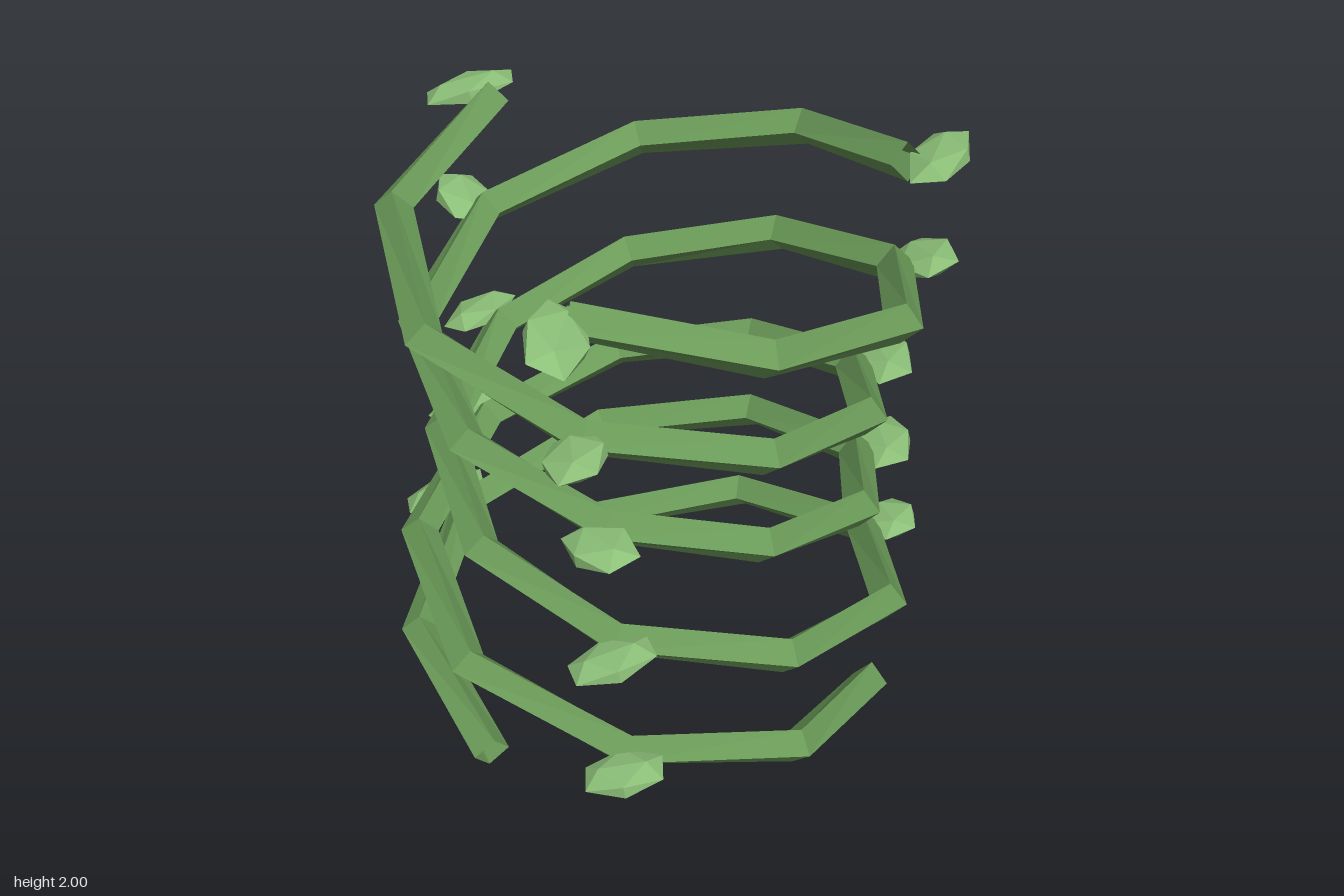
import * as THREE from 'three';

const SEGMENTS = 14, TUBE = 0.065;
const CENTRE = new THREE.Vector3(0.045, 0, -0.1);
const STEP = THREE.MathUtils.degToRad(41.05);

const stemMaterial = new THREE.MeshStandardMaterial({ color: 0x6a9a58, flatShading: true, side: THREE.DoubleSide });
const leafMaterial = new THREE.MeshStandardMaterial({ color: 0x8cc078, flatShading: true });

// Point i of a rising helix whose radius swells and narrows with height
function helixPoint(start, i, offset = 0) {
  const angle = start + i * STEP;
  const radius = 0.78 + 0.07 * Math.sin(0.61 * i + 0.23) + offset;
  return new THREE.Vector3(Math.cos(angle) * radius, 0.065 + 0.134 * i, Math.sin(angle) * radius).add(CENTRE);
}

// Open four-sided tube, with its edges facing out, in, up and down
function vineGeometry(start) {
  const positions = [], index = [];
  for (let i = 0; i <= SEGMENTS; i++) {
    const p = helixPoint(start, i);
    const tangent = helixPoint(start, Math.min(i + 1, SEGMENTS))
      .sub(helixPoint(start, Math.max(i - 1, 0))).normalize();
    const out = p.clone().sub(CENTRE).setY(0);
    out.addScaledVector(tangent, -out.dot(tangent)).normalize();
    const side = tangent.clone().cross(out);
    for (let j = 0; j < 4; j++) {
      const a = j * Math.PI / 2;
      const v = p.clone().addScaledVector(out, TUBE * Math.cos(a)).addScaledVector(side, TUBE * Math.sin(a));
      positions.push(v.x, v.y, v.z);
      if (i === SEGMENTS) continue;
      const k = i * 4 + j, n = i * 4 + (j + 1) % 4;
      index.push(k, n, k + 4, n, n + 4, k + 4);
    }
  }
  const geometry = new THREE.BufferGeometry();
  geometry.setAttribute('position', new THREE.Float32BufferAttribute(positions, 3));
  geometry.setIndex(index);
  geometry.computeVertexNormals();
  return geometry;
}

// Leaf columns, bottom to top: [heading in degrees, length scale, tilt]
const LEAVES = [
  { azimuth: 82, rows: [[-15, 0.85, 0.2], [-30, 0.9, 0.25], [40, 0.88, 0.15], [70, 0.85, 0.3], [85, 1.1, -0.4]] },
  { azimuth: 202, rows: [[-25, 1, 0.35], [-50, 0.85, 0.25], [-60, 0.85, 0.3], [60, 0.9, -0.25], [-20, 1, 0.25]] },
  { azimuth: 322, rows: [[60, 0.8, 0.3], [70, 1.05, 0.25], [65, 1.15, 0.3], [55, 0.95, 0.4], [95, 1.15, 0.25]] },
];

export function createModel() {
  const model = new THREE.Group();
  model.name = 'twistedVines';

  // Three intertwined vines
  for (let v = 0; v < 3; v++) {
    const vine = new THREE.Mesh(vineGeometry(v * Math.PI * 2 / 3), stemMaterial);
    vine.name = 'vine' + (v + 1);
    model.add(vine);
  }

  // A leaf at every third bend, just outside the stem
  const leafGeometry = new THREE.IcosahedronGeometry(1, 0);
  for (const { azimuth, rows } of LEAVES) {
    rows.forEach(([heading, size, tilt], row) => {
      const i = 2 + row * 3;
      const start = THREE.MathUtils.degToRad(azimuth + row * 3) - i * STEP;
      const leaf = new THREE.Mesh(leafGeometry, leafMaterial);
      leaf.name = 'leaf';
      leaf.position.copy(helixPoint(start, i, 0.11));
      leaf.scale.set(0.175 * size, 0.042, 0.112);
      leaf.rotation.set(0, -THREE.MathUtils.degToRad(heading), tilt, 'ZYX');
      model.add(leaf);
    });
  }
  return model;
}
